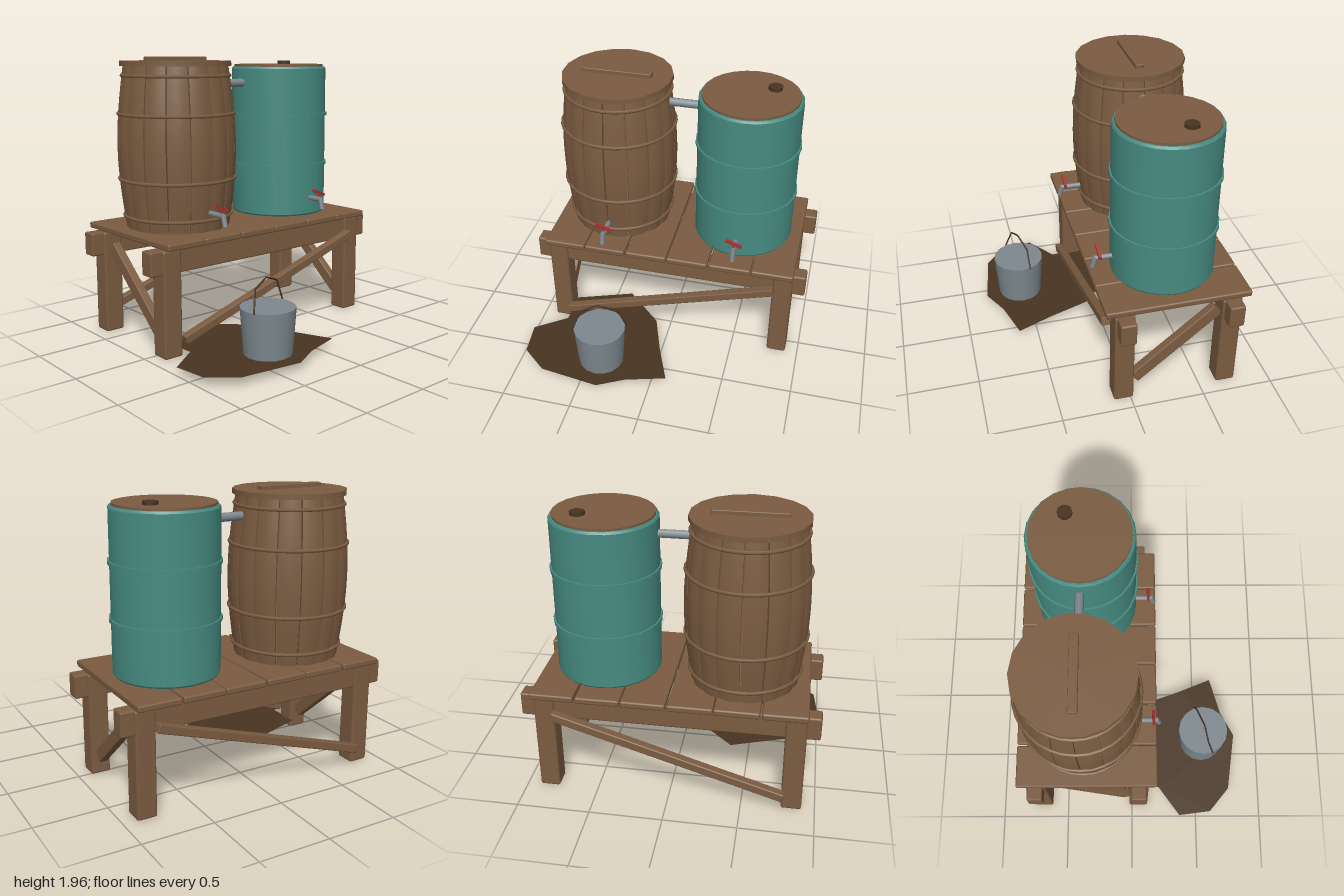
import * as THREE from 'three';
import { toCreasedNormals } from 'three/addons/utils/BufferGeometryUtils.js';
import { RoundedBoxGeometry } from 'three/addons/geometries/RoundedBoxGeometry.js';

const material = (name, color, extra = {}) => {
  const m = new THREE.MeshStandardMaterial({ color, ...extra });
  m.name = name;
  return m;
};

export function createModel() {
  const model = new THREE.Group();
  model.name = 'rainwaterStand';
  const wood = material('wood', 0x7b5c41);
  const teal = material('tealPaint', 0x468b81);
  const metal = material('greyMetal', 0x7d888e);
  const red = material('redLever', 0xa8302f);
  const dark = material('darkBrown', 0x483421);
  const mud = material('mud', 0x483421, { side: THREE.DoubleSide });

  const add = (name, geometry, mat, x = 0, y = 0, z = 0, parent = model) => {
    const mesh = new THREE.Mesh(geometry, mat);
    mesh.name = name;
    mesh.position.set(x, y, z);
    parent.add(mesh);
    return mesh;
  };
  // Bevelled timber block
  const block = (name, w, h, d, x, y, z, bevel = 0.012) =>
    add(name, new RoundedBoxGeometry(w, h, d, 1, bevel), wood, x, y, z);
  const disc = (name, r, y0, y1, mat, x, z, sides) =>
    add(name, new THREE.CylinderGeometry(r, r, y1 - y0, sides), mat, x, (y0 + y1) / 2, z);
  // Round bar between two points
  const bar = (name, a, b, r, mat, sides = 8) => {
    const p = new THREE.Vector3(...a), q = new THREE.Vector3(...b);
    const dir = q.clone().sub(p);
    const mesh = add(name, new THREE.CylinderGeometry(r, r, dir.length(), sides), mat);
    mesh.position.copy(p).add(q).multiplyScalar(0.5);
    mesh.quaternion.setFromUnitVectors(new THREE.Vector3(0, 1, 0), dir.normalize());
    return mesh;
  };

  // Legs and long rails
  for (const z of [0.05, -0.69]) {
    for (const x of [-0.84, 0.84]) block('leg', 0.14, 0.73, 0.14, x, 0.365, z, 0.015);
    block('longRail', 2, 0.165, 0.11, 0, 0.652, z);
  }

  // Diagonal braces, front and back
  for (const z of [0.15, -0.79]) {
    const brace = block('longBrace', 1.64, 0.06, 0.06, 0, 0.37, z, 0.008);
    brace.rotation.z = Math.atan2(0.49, 1.56);
  }
  // Diagonal braces at the two ends
  for (const x of [-0.84, 0.84]) {
    const brace = block('endBrace', 0.06, 0.09, 0.76, x, 0.383, -0.32, 0.008);
    brace.rotation.x = Math.atan2(0.49, 0.57);
  }

  // Deck planks, laid very slightly askew
  const skew = [0.004, -0.005, 0.004, -0.005, 0.005, -0.003];
  skew.forEach((angle, i) => {
    const plank = block('deckPlank', 0.298, 0.045, 1, (i - 2.5) * 0.306, 0.7625, -0.32, 0.012);
    plank.rotation.y = angle;
  });

  // Barrel staves, bent from boxes around the barrel axis
  const bx = -0.465, bz = -0.345, staves = 16, base = 0.785, height = 1.115;
  const radius = (y) => 0.365 + 0.05 * Math.sin(Math.PI * (y - base) / height);
  const bent = new THREE.BoxGeometry(2, height, 0.03, 4, 10, 1);
  const pos = bent.attributes.position;
  for (let i = 0; i < pos.count; i++) {
    const u = pos.getX(i), y = pos.getY(i) + base + height / 2;
    const a = u * (Math.PI / staves - 0.013);
    const r = radius(y) + pos.getZ(i) - 0.015 - 0.008 * u * u;
    pos.setXYZ(i, r * Math.sin(a), y, r * Math.cos(a));
  }
  const staveGeometry = toCreasedNormals(bent, 0.6);
  for (let i = 0; i < staves; i++) {
    const stave = add('barrelStave', staveGeometry, wood, bx, 0, bz);
    stave.rotation.y = (i + 0.5) * 2 * Math.PI / staves;
  }
  // Barrel hoops, lid and lid grip
  for (const y of [0.865, 1.125, 1.575, 1.835]) {
    const hoop = add('barrelHoop', new THREE.TorusGeometry(radius(y), 0.013, 6, 32), wood, bx, y, bz);
    hoop.rotation.x = Math.PI / 2;
  }
  disc('barrelLid', 0.388, 1.9, 1.935, wood, bx, bz, 18);
  block('lidGrip', 0.49, 0.035, 0.06, bx, 1.945, bz, 0.006);

  // Drum with softened edges, raised ribs, lid and filler cap
  const dx = 0.475, dz = -0.325;
  const profile = [[0, 0.785], [0.35, 0.785], [0.358, 0.797], [0.358, 1.873], [0.348, 1.888], [0, 1.888]]
    .map(([r, y]) => new THREE.Vector2(r, y));
  add('drumBody', toCreasedNormals(new THREE.LatheGeometry(profile, 24), 0.5), teal, dx, 0, dz);
  for (const y of [1.155, 1.53]) disc('drumRib', 0.37, y - 0.012, y + 0.012, teal, dx, dz, 24);
  disc('drumLid', 0.337, 1.88, 1.904, wood, dx, dz, 24);
  disc('fillerCap', 0.05, 1.9, 1.927, dark, 0.622, -0.425, 10);

  // Overflow pipe joining the two vessels
  bar('overflowPipe', [-0.1, 1.77, -0.33], [0.14, 1.77, -0.33], 0.03, metal);

  // Taps: pipe, slanted spout and lever
  for (const [x, z] of [[bx, 0.03], [dx, 0]]) {
    bar('tapPipe', [x, 0.915, z - 0.05], [x, 0.915, z + 0.15], 0.019, metal);
    bar('tapSpout', [x, 0.925, z + 0.142], [x, 0.845, z + 0.163], 0.018, metal);
    bar('tapStem', [x, 0.92, z + 0.123], [x, 0.965, z + 0.123], 0.008, red);
    const lever = add('tapLever', new THREE.BoxGeometry(0.12, 0.02, 0.02), red, x, 0.965, z + 0.123);
    lever.rotation.z = -0.36;
  }

  // Bucket with rim and wire handle
  const cx = -0.4, cz = 0.55;
  add('bucket', new THREE.CylinderGeometry(0.186, 0.163, 0.32, 16), metal, cx, 0.212, cz);
  const handle = [[-0.58, 0.37, 0.62], [-0.53, 0.515, 0.575], [-0.41, 0.567, 0.545],
    [-0.275, 0.515, 0.495], [-0.216, 0.37, 0.487]];
  for (let i = 1; i < handle.length; i++) bar('bucketHandle', handle[i - 1], handle[i], 0.006, dark, 6);

  // Wet patch of ground around the bucket, as x and z pairs
  const outline = [[-1, 0.37], [-0.97, 0.61], [-0.79, 0.76], [-0.36, 0.82], [-0.17, 0.72], [0.11, 0.64],
    [0, 0.37], [-0.1, 0.08], [-0.37, -0.18], [-0.79, -0.03], [-0.78, 0.21]];
  const shape = new THREE.Shape(outline.map(([x, z]) => new THREE.Vector2(x, -z)));
  const patch = add('wetPatch', new THREE.ShapeGeometry(shape), mud, 0, 0.057, 0);
  patch.rotation.x = -Math.PI / 2;

  return model;
}
